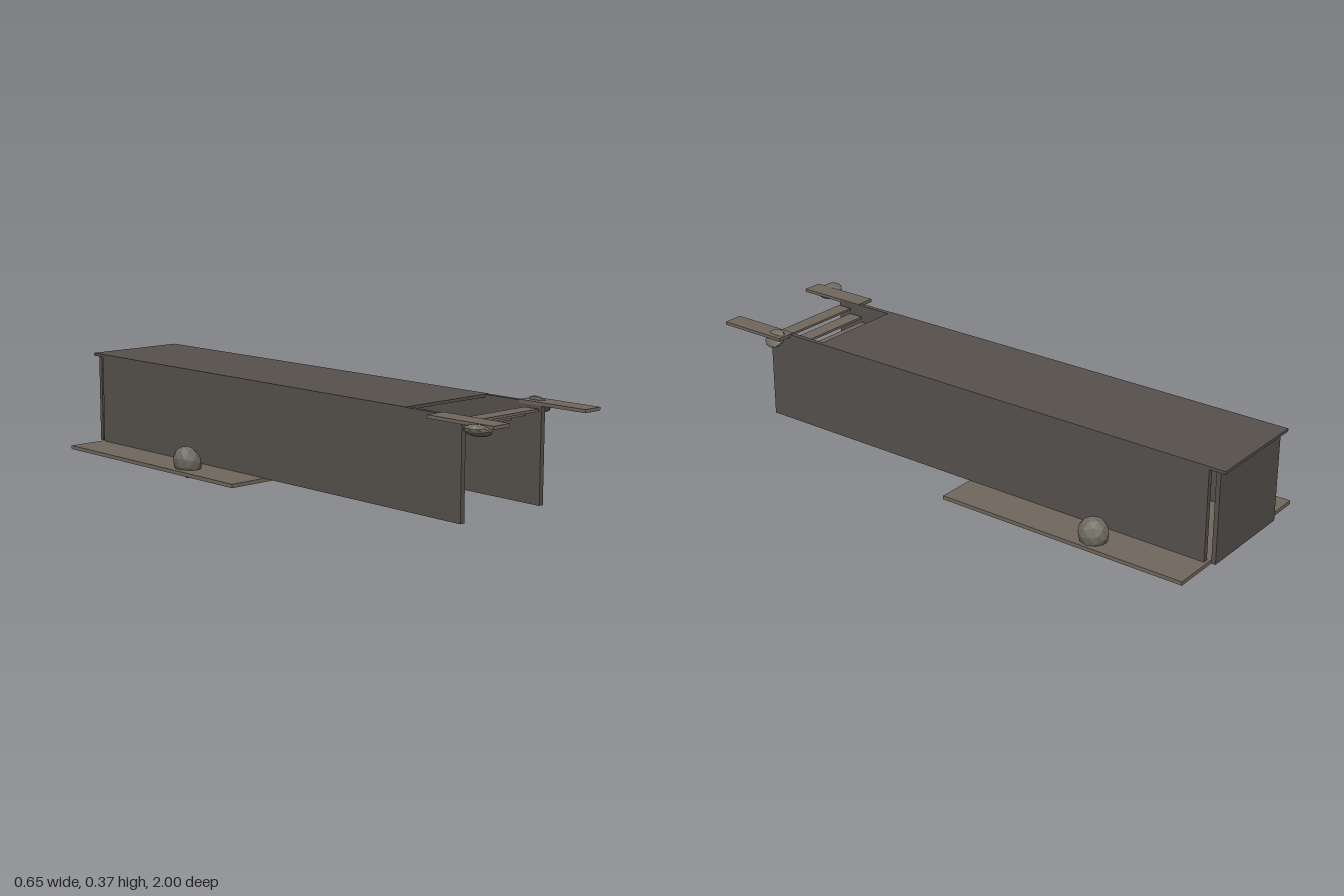
import * as THREE from 'three';

const mat = (color) => new THREE.MeshStandardMaterial({ color, flatShading: true });

export function createModel() {
  const model = new THREE.Group();
  const wall = mat(0x56514d), slab = mat(0x70675d), stone = mat(0x6f6b62), gold = mat(0xd9a05b);

  // Box given by its extents on each axis
  function block(name, [x0, x1], [y0, y1], [z0, z1], material) {
    const mesh = new THREE.Mesh(new THREE.BoxGeometry(x1 - x0, y1 - y0, z1 - z0), material);
    mesh.position.set((x0 + x1) / 2, (y0 + y1) / 2, (z0 + z1) / 2);
    mesh.name = name;
    model.add(mesh);
    return mesh;
  }

  // Faceted boulder: stretched and tilted ball
  function rock(name, position, radii, rotation) {
    const mesh = new THREE.Mesh(new THREE.IcosahedronGeometry(1, 1), stone);
    mesh.position.set(...position);
    mesh.scale.set(...radii);
    mesh.rotation.set(...rotation);
    mesh.name = name;
    model.add(mesh);
  }

  // Passage shell
  for (const [side, s] of [['left', 1], ['right', -1]]) {
    const span = (a, b) => (s > 0 ? [a, b] : [-b, -a]);
    block(side + 'Wall', span(0.17, 0.187), [0.04, 0.361], [-0.945, 0.83], wall);
    block(side + 'EntranceLedge', span(0.17, 0.24), [0.352, 0.363], [0.74, 1], slab);
  }
  block('roof', [-0.187, 0.187], [0.352, 0.362], [-1, 0.6], wall);
  block('backWall', [-0.178, 0.178], [0.04, 0.352], [-0.98, -0.965], wall);
  block('floor', [-0.327, 0.327], [0.028, 0.041], [-0.955, -0.05], slab);

  // Open stair descending from the entrance
  const steps = 16, run = 0.0533;
  for (let i = 0; i < steps; i++) {
    const y = 0.34 - i * 0.0201, z = 0.826 - i * run;
    block('stairTread', [-0.16, 0.16], [y - 0.004, y + 0.004], [z - run - 0.001, z], slab);
  }

  // Altar with its plinth and golden offering
  block('altarPlinth', [-0.12, 0.12], [0.041, 0.055], [-0.72, -0.55], slab);
  block('altar', [-0.04, 0.06], [0.055, 0.122], [-0.68, -0.59], wall);
  block('offering', [-0.03, 0.05], [0.122, 0.135], [-0.66, -0.61], gold);

  // Small golden fittings near the walls
  block('wallFitting', [-0.17, -0.166], [0.222, 0.232], [-0.41, -0.4], gold);
  block('wallFitting', [-0.155, -0.141], [0.208, 0.214], [-0.51, -0.5], gold);
  block('wallFitting', [0.138, 0.152], [0.222, 0.227], [-0.51, -0.5], gold);

  // Scattered rocks
  rock('leftFloorRock', [0.275, 0.067, -0.602], [0.047, 0.054, 0.051], [0.2, 0.3, 0]);
  rock('rightFloorRock', [-0.273, 0.063, -0.35], [0.041, 0.06, 0.052], [0, 0.3, 0.35]);
  rock('backFloorRock', [-0.01, 0.036, -0.91], [0.048, 0.033, 0.036], [0, 0, 0.4]);
  rock('rightEntranceRock', [-0.248, 0.345, 0.948], [0.049, 0.019, 0.041], [0, 0.2, -0.25]);
  rock('leftEntranceRock', [0.22, 0.348, 0.78], [0.037, 0.014, 0.04], [0, 0, -0.8]);

  return model;
}
